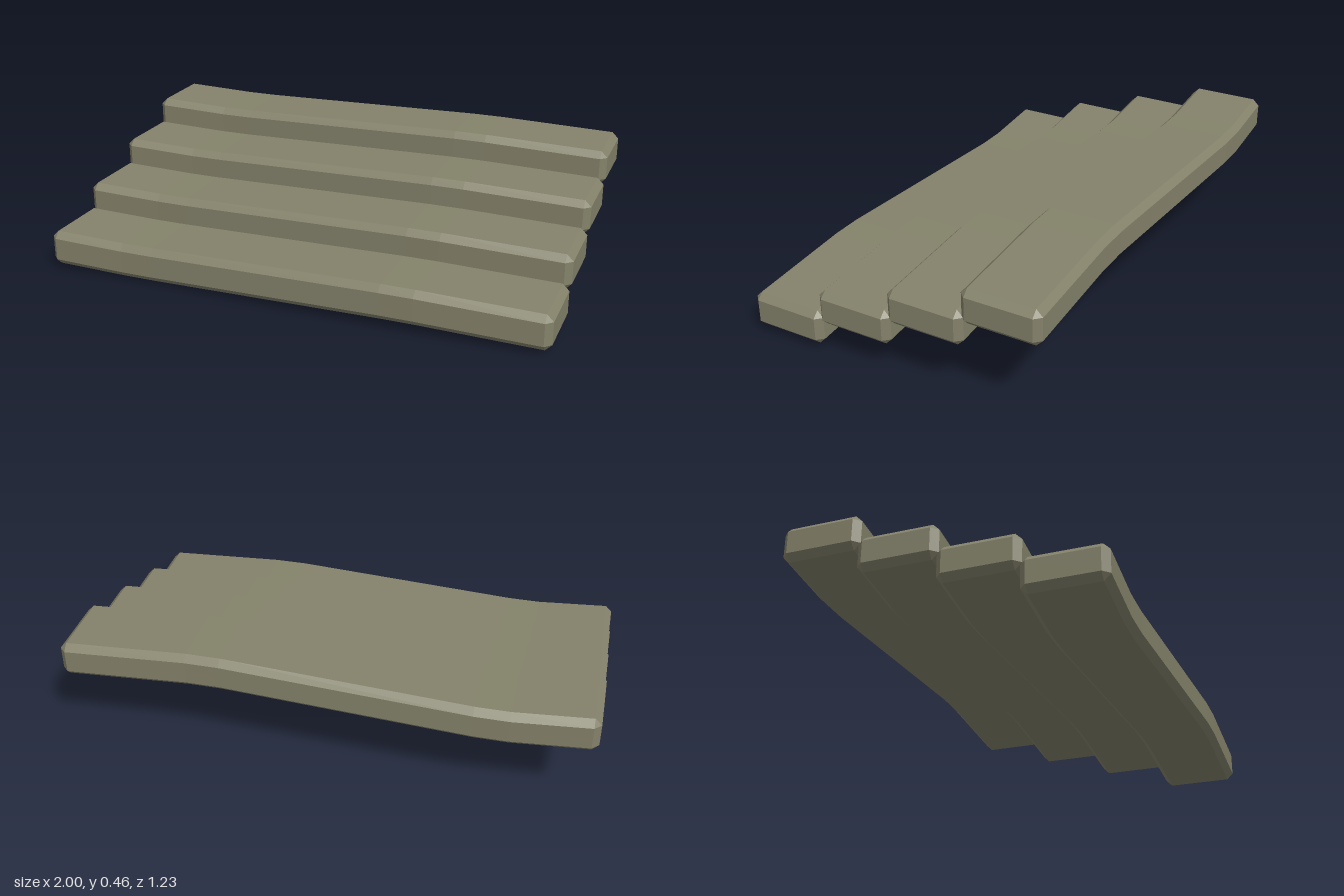
import * as THREE from 'three';

const W = 0.153, H = 0.069, B = 0.025; // half depth, half height, bevel

// Octagonal section, counterclockwise seen from +x; at the end caps the
// bevelled corners collapse to the inner rectangle.
function ring(x, shift, cap) {
  const pts = [];
  for (const [sz, sy] of [[-1, 1], [1, 1], [1, -1], [-1, -1]]) {
    const side = [sz * (cap ? W - B : W), sy * (H - B)];
    const flat = [sz * (W - B), sy * (cap ? H - B : H)];
    const pair = sz * sy < 0 ? [side, flat] : [flat, side];
    for (const [z, y] of pair) pts.push(new THREE.Vector3(x, y + shift, z + shift));
  }
  return pts;
}

// Gently warped plank with chamfered edges
function plankGeometry() {
  const rings = [
    ring(-1, 0, true),
    ...[[-0.975, 0], [-0.69, -0.013], [-0.56, -0.013], [0.38, 0.016], [0.51, 0.016], [0.975, 0]]
      .map(([x, s]) => ring(x, s, false)),
    ring(1, 0, true),
  ];
  const pos = [];
  const tri = (a, b, c) => {
    const n = b.clone().sub(a).cross(c.clone().sub(a));
    if (n.length() > 1e-9) for (const p of [a, b, c]) pos.push(p.x, p.y, p.z);
  };
  for (let i = 0; i < rings.length - 1; i++) {
    for (let j = 0; j < 8; j++) {
      const k = (j + 1) % 8;
      const a = rings[i][j], b = rings[i][k], c = rings[i + 1][k], d = rings[i + 1][j];
      tri(a, b, c);
      tri(a, c, d);
    }
  }
  // End caps
  const first = rings[0], last = rings[rings.length - 1];
  for (let j = 1; j < 7; j++) {
    tri(first[0], first[j + 1], first[j]);
    tri(last[0], last[j], last[j + 1]);
  }
  const geo = new THREE.BufferGeometry();
  geo.setAttribute('position', new THREE.Float32BufferAttribute(pos, 3));
  geo.computeVertexNormals();
  return geo;
}

export function createModel() {
  const model = new THREE.Group();
  model.name = 'steps';
  const wood = new THREE.MeshStandardMaterial({ color: 0x84826a });
  wood.name = 'weathered wood';
  const geo = plankGeometry();
  // Four planks rising toward the back
  for (let i = 0; i < 4; i++) {
    const plank = new THREE.Mesh(geo, wood);
    plank.name = `stepPlank${i + 1}`;
    plank.position.set(0, 0.085 + i * 0.097, 0.446 - i * 0.299);
    model.add(plank);
  }
  return model;
}
